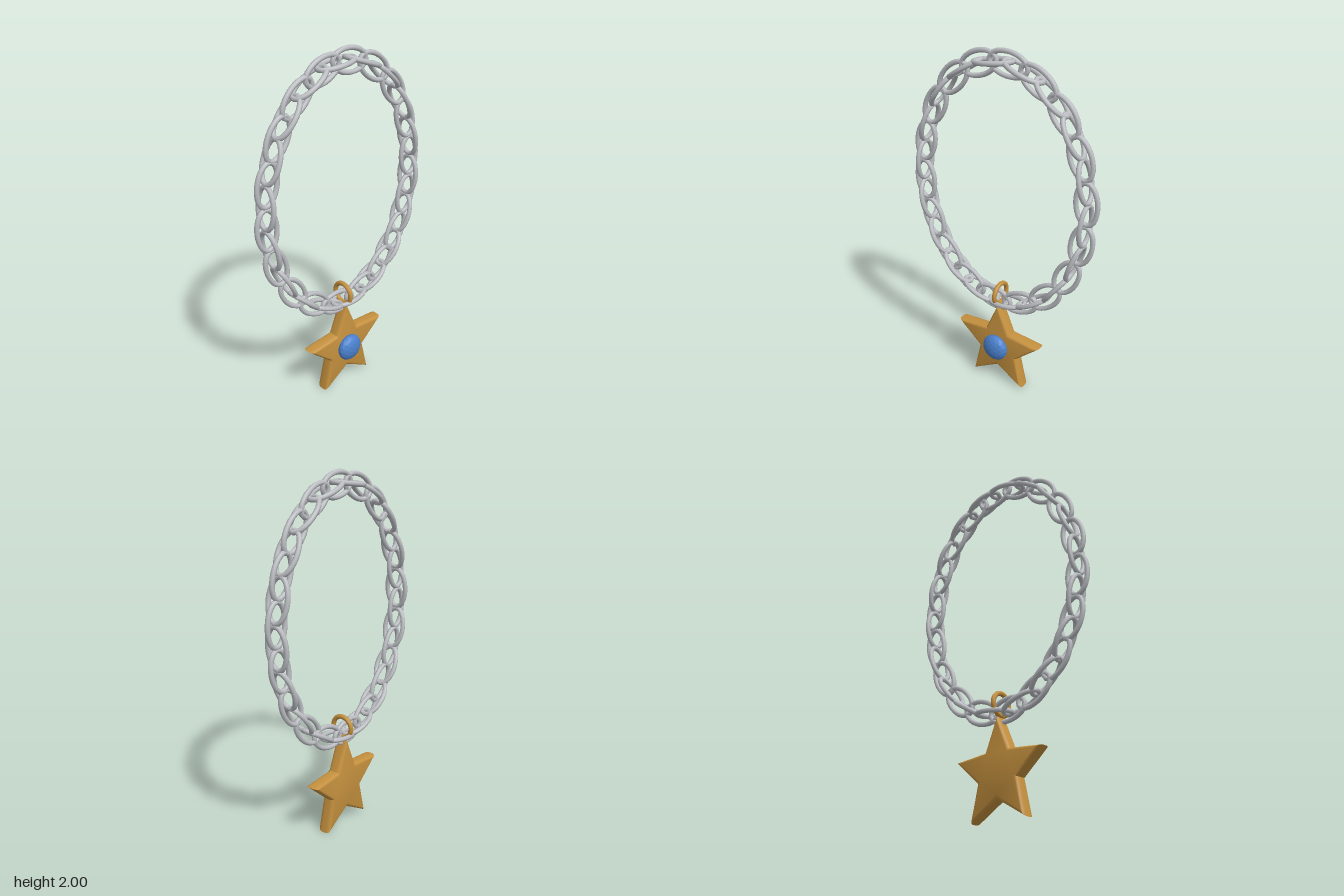
import * as THREE from 'three';
import { toCreasedNormals } from 'three/addons/utils/BufferGeometryUtils.js';

const silver = new THREE.MeshStandardMaterial({ color: 0xbcbec3 });
silver.name = 'silver';
const gold = new THREE.MeshStandardMaterial({ color: 0xc4903e });
gold.name = 'gold';
const blue = new THREE.MeshStandardMaterial({ color: 0x4a80cc });
blue.name = 'gemBlue';

const Z = -0.011; // plane of the chain and pendant
const STAR_Y = 0.238;

function part(name, geometry, material, x = 0, y = 0, z = 0) {
  const mesh = new THREE.Mesh(geometry, material);
  mesh.name = name;
  mesh.position.set(x, y, z);
  return mesh;
}

// Oval link, long axis along x
function linkGeometry() {
  const oval = new THREE.EllipseCurve(0, 0, 0.114, 0.061);
  const points = oval.getPoints(16).slice(0, 16).map((p) => new THREE.Vector3(p.x, p.y, 0));
  return new THREE.TubeGeometry(new THREE.CatmullRomCurve3(points, true), 24, 0.0135, 8, true);
}

// Links follow an ellipse, alternately flat and turned on edge
function createChain() {
  const chain = new THREE.Group();
  chain.name = 'chain';
  const geometry = linkGeometry();
  const rx = 0.515, ry = 0.685, count = 36;
  for (let i = 0; i < count; i++) {
    const t = ((5 + i * 10) * Math.PI) / 180;
    const link = part('chainLink', geometry, silver, rx * Math.cos(t), 1.242 + ry * Math.sin(t), Z);
    const tangent = Math.atan2(ry * Math.cos(t), -rx * Math.sin(t));
    link.rotation.set(i % 2 ? Math.PI / 2 : 0, 0, tangent, 'ZYX');
    chain.add(link);
  }
  return chain;
}

// Five-pointed star with rounded edges
function starGeometry() {
  const shape = new THREE.Shape();
  for (let i = 0; i < 10; i++) {
    const r = i % 2 ? 0.113 : 0.264;
    const a = Math.PI / 2 + (i * Math.PI) / 5;
    shape[i ? 'lineTo' : 'moveTo'](r * Math.cos(a), r * Math.sin(a));
  }
  shape.closePath();
  const depth = 0.028;
  const geometry = new THREE.ExtrudeGeometry(shape, {
    depth, bevelThickness: 0.024, bevelSize: 0.02, bevelSegments: 4,
  });
  geometry.translate(0, 0, -depth / 2);
  return toCreasedNormals(geometry, 0.6);
}

export function createModel() {
  const model = new THREE.Group();
  model.name = 'starNecklace';
  model.add(createChain());

  // Pendant: hanging ring, star and faceted gem
  const pendant = new THREE.Group();
  pendant.name = 'pendant';
  const ring = part('hangingRing', new THREE.TorusGeometry(0.061, 0.0135, 10, 28), gold, 0, 0.596, Z);
  ring.rotation.y = Math.PI / 2;
  const star = part('star', starGeometry(), gold, 0, STAR_Y, Z);

  const gemGeometry = new THREE.IcosahedronGeometry(0.081, 2);
  gemGeometry.scale(1, 1, 0.55);
  gemGeometry.computeVertexNormals(); // unshared corners give flat facets
  const gem = part('gem', gemGeometry, blue, 0, 0.245, 0.043);

  pendant.add(ring, star, gem);
  model.add(pendant);
  return model;
}
